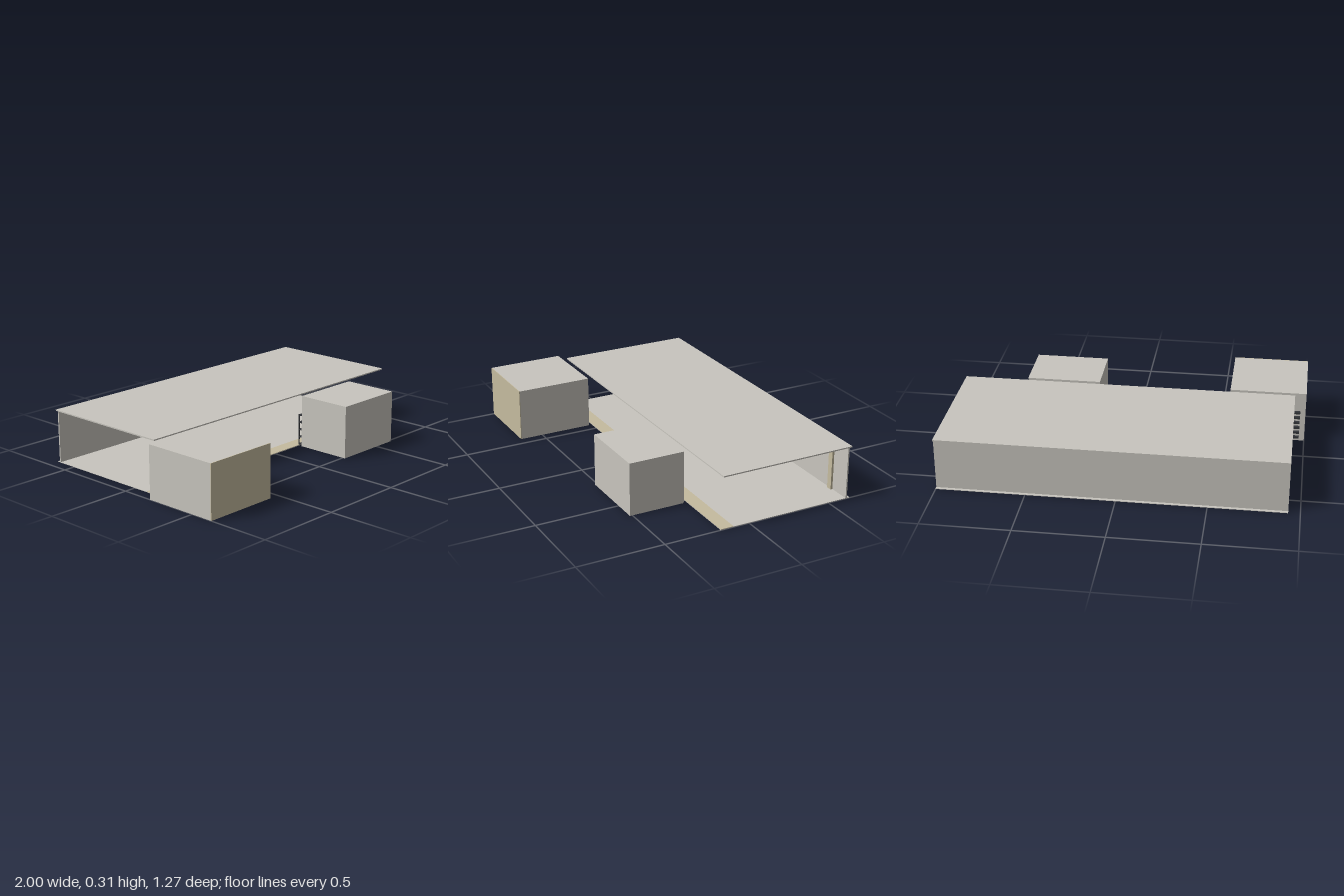
import * as THREE from 'three';

const mat = (name, color) => {
  const m = new THREE.MeshStandardMaterial({ color });
  m.name = name;
  return m;
};

export function createModel() {
  const root = new THREE.Group();
  root.name = 'pavilion';
  const concrete = mat('concrete', 0xc8c5be);
  const sand = mat('sand', 0xc5bb9f);
  const dark = mat('darkMetal', 0x34363a);

  // Box given by its minimum and maximum on each axis
  const block = (name, m, x0, x1, y0, y1, z0, z1, parent = root) => {
    const mesh = new THREE.Mesh(new THREE.BoxGeometry(x1 - x0, y1 - y0, z1 - z0), m);
    mesh.position.set((x0 + x1) / 2, (y0 + y1) / 2, (z0 + z1) / 2);
    mesh.name = name;
    parent.add(mesh);
    return mesh;
  };

  // Main hall: floor, front strip, back wall and roof; both ends stay open
  block('floor', concrete, -0.935, 1, 0, 0.003, -0.637, 0.172);
  block('floorStrip', sand, -0.935, 1, 0.003, 0.005, 0.095, 0.172);
  block('backWall', concrete, -0.935, 1, 0.003, 0.3, -0.62, -0.612);
  block('roof', concrete, -0.935, 1, 0.3, 0.307, -0.637, 0.16);

  // Pillars along the inside of the back wall
  for (const x of [-0.262, 0.163, 0.857]) {
    block('pillar', sand, x - 0.017, x + 0.017, 0.003, 0.297, -0.612, -0.6);
  }

  // Ceiling lights
  for (const z of [0.06, -0.2, -0.45]) {
    for (const x of [-0.7, -0.2, 0.3, 0.8]) {
      const light = new THREE.Mesh(new THREE.CylinderGeometry(0.008, 0.008, 0.003, 12), dark);
      light.position.set(x, 0.2985, z);
      light.name = 'ceilingLight';
      root.add(light);
    }
  }

  // Two free-standing rooms in front
  block('largeRoom', concrete, -1, -0.56, 0, 0.305, 0.19, 0.633);
  block('largeRoomFront', sand, -1, -0.56, 0, 0.305, 0.633, 0.637);
  block('smallRoom', concrete, 0.207, 0.635, 0, 0.305, 0.19, 0.515);

  // Fittings on the back of the large room: rack, rings and rails
  const fittings = new THREE.Group();
  fittings.name = 'wallFittings';
  root.add(fittings);
  for (let i = 0; i < 6; i++) {
    const y = 0.02 + i * 0.032;
    block('rackShelf', dark, -0.97, -0.88, y, y + 0.012, 0.172, 0.19, fittings);
  }
  for (let i = 0; i < 8; i++) {
    const ring = new THREE.Mesh(new THREE.TorusGeometry(0.016 + 0.004 * (i % 3), 0.003, 6, 16), dark);
    ring.position.set(-0.85 + i * 0.036, 0.07 + 0.055 * ((i * 2) % 4), 0.186);
    ring.name = 'wallRing';
    fittings.add(ring);
  }
  for (const [x, y, w] of [[-0.8, 0.04, 0.12], [-0.63, 0.03, 0.08], [-0.72, 0.14, 0.1], [-0.62, 0.19, 0.07]]) {
    block('wallRail', dark, x - w / 2, x + w / 2, y, y + 0.008, 0.18, 0.19, fittings);
  }

  // Open shelf unit and low bench on the back of the small room
  const shelf = new THREE.Group();
  shelf.name = 'shelfUnit';
  root.add(shelf);
  for (const x of [0.21, 0.26, 0.31, 0.365]) {
    block('shelfPost', dark, x, x + 0.006, 0.005, 0.19, 0.163, 0.168, shelf);
  }
  for (let i = 0; i < 5; i++) {
    const y = 0.006 + i * 0.044;
    block('shelfBoard', dark, 0.21, 0.371, y, y + 0.006, 0.163, 0.188, shelf);
  }
  block('bench', dark, 0.47, 0.59, 0.04, 0.05, 0.177, 0.19, shelf);

  return root;
}
